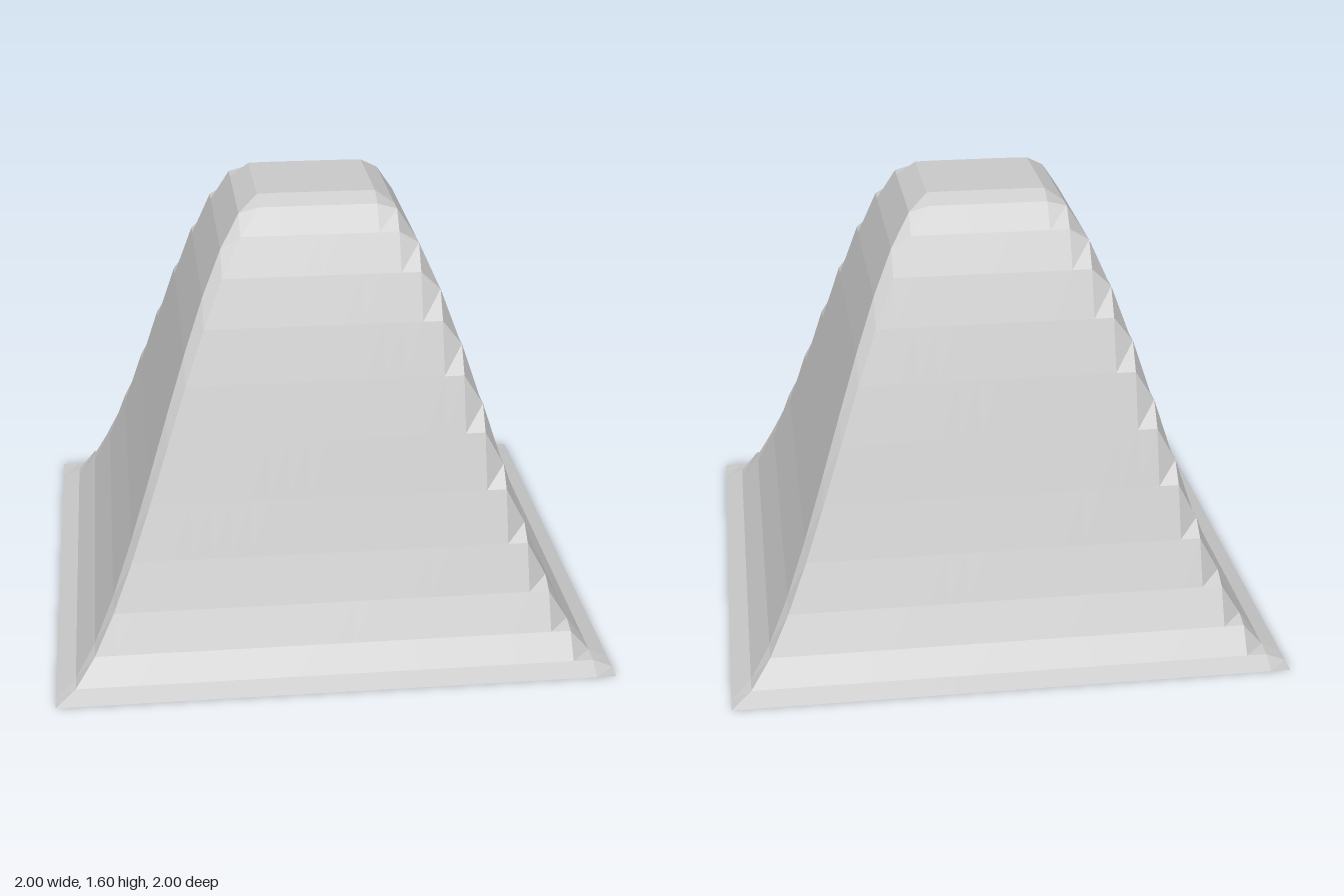
import * as THREE from 'three';

const HEIGHT = 1.6;
const PLATEAU = 0.2; // half width of the flat top

// Square hill: an S-shaped slope from the rim up to the plateau
function hillHeight(x, z) {
  const d = Math.max(Math.abs(x), Math.abs(z));
  return HEIGHT * (1 - THREE.MathUtils.smoothstep(d, PLATEAU, 1));
}

export function createModel() {
  const group = new THREE.Group();
  group.name = 'squareHill';

  // Open-bottomed terrain sheet, a grid raised by the height rule
  const geometry = new THREE.PlaneGeometry(2, 2, 28, 30);
  geometry.rotateX(-Math.PI / 2);
  const pos = geometry.attributes.position;
  for (let i = 0; i < pos.count; i++) {
    pos.setY(i, hillHeight(pos.getX(i), pos.getZ(i)));
  }
  geometry.computeVertexNormals();

  const material = new THREE.MeshStandardMaterial({
    color: 0xcccccc,
    flatShading: true,
    side: THREE.DoubleSide,
  });
  const hill = new THREE.Mesh(geometry, material);
  hill.name = 'hillSurface';
  group.add(hill);
  return group;
}
